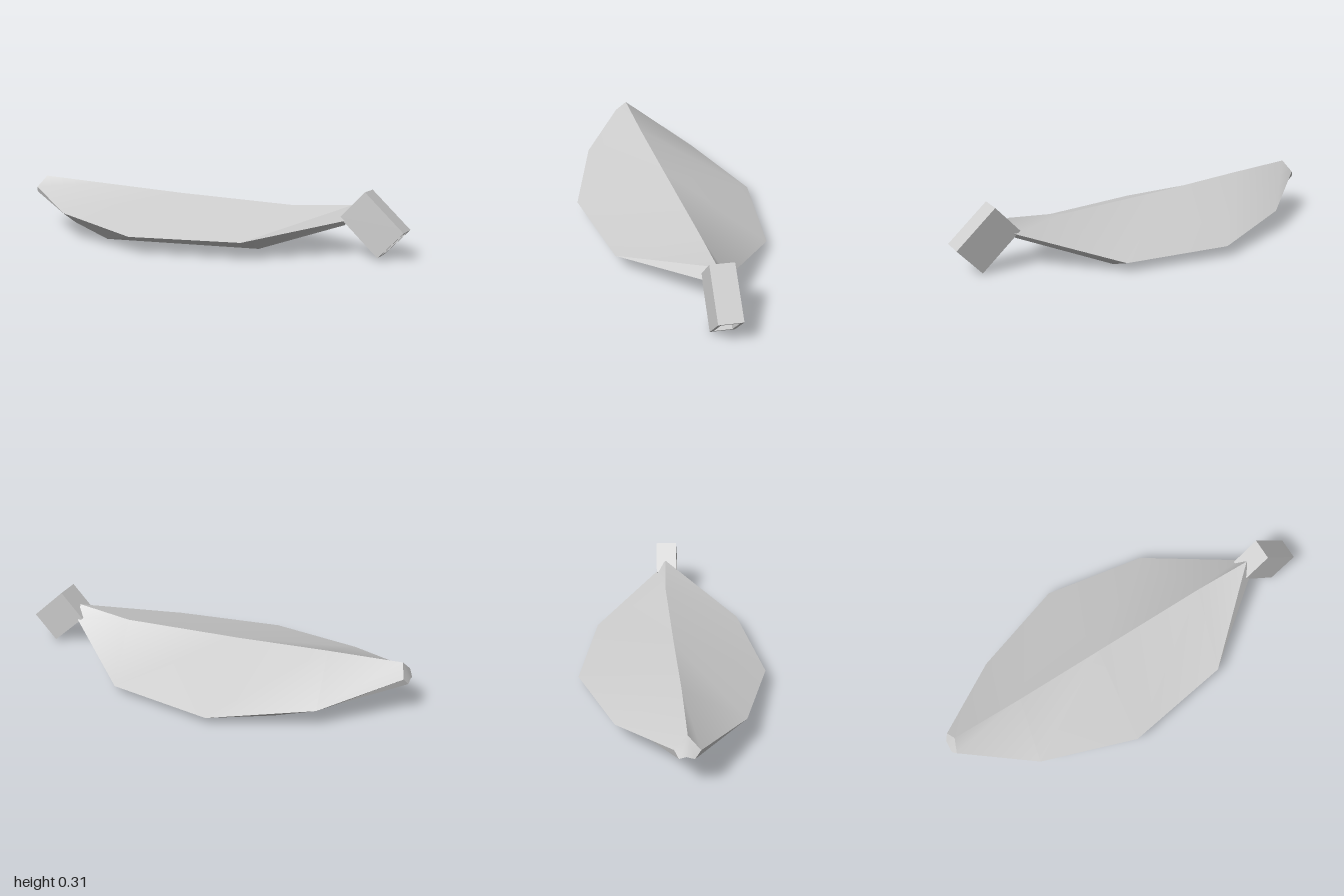
import * as THREE from 'three';
import { toCreasedNormals } from 'three/addons/utils/BufferGeometryUtils.js';

const grey = new THREE.MeshStandardMaterial({ color: 0xcccccc, side: THREE.DoubleSide });
grey.name = 'pale grey';

// Lines running lengthwise from the tip to the stem, in order round the section
const ridge = [[-0.955, 0.265, 0.07], [-0.6, 0.248, 0.045], [-0.15, 0.225, 0.005], [0.45, 0.205, -0.045], [0.74, 0.23, -0.05]];
const frontEdge = [[-0.98, 0.21, 0.125], [-0.65, 0.13, 0.335], [-0.18, 0.08, 0.455], [0.35, 0.085, 0.34], [0.73, 0.165, 0.01]];
const frontKeel = [[-1, 0.18, 0.1], [-0.7, 0.05, 0.17], [-0.45, 0, 0.24], [0.32, 0, 0.08], [0.72, 0.14, -0.01]];
const valley = [[-1, 0.19, 0.065], [-0.7, 0.1, 0.01], [-0.42, 0.07, -0.03], [0.39, 0.06, -0.08], [0.72, 0.155, -0.045]];
const backKeel = [[-1, 0.18, 0.035], [-0.7, 0.055, -0.1], [-0.45, 0.005, -0.24], [0.32, 0, -0.28], [0.72, 0.14, -0.08]];
const backEdge = [[-0.98, 0.21, 0.015], [-0.66, 0.1, -0.25], [-0.2, 0.05, -0.46], [0.32, 0.045, -0.408], [0.73, 0.165, -0.1]];

function peelGeometry() {
  const lines = [ridge, frontEdge, frontKeel, valley, backKeel, backEdge];
  const n = lines.length, last = ridge.length - 1;
  const pos = [];
  const tri = (...pts) => pts.forEach((p) => pos.push(...p));
  for (let i = 0; i < last; i++) {
    for (let j = 0; j < n; j++) {
      const k = (j + 1) % n;
      const a = lines[j][i], b = lines[j][i + 1], c = lines[k][i], d = lines[k][i + 1];
      tri(a, c, b);
      tri(b, c, d);
    }
  }
  // End caps
  for (let j = 1; j < n - 1; j++) {
    tri(lines[0][0], lines[j + 1][0], lines[j][0]);
    tri(lines[0][last], lines[j][last], lines[j + 1][last]);
  }
  const g = new THREE.BufferGeometry();
  g.setAttribute('position', new THREE.Float32BufferAttribute(pos, 3));
  return toCreasedNormals(g, 0.5);
}

function rectangle(Type, w, h) {
  return new Type([[-w, -h], [w, -h], [w, h], [-w, h]].map(([x, y]) => new THREE.Vector2(x / 2, y / 2)));
}

// Block whose long axis is local x, with a recess in its outer end
function createStem() {
  const length = 0.255, height = 0.172, depth = 0.112, recess = 0.03;
  const stem = new THREE.Group();
  stem.name = 'stem';

  const block = new THREE.Mesh(new THREE.BoxGeometry(length - recess, height, depth), grey);
  block.name = 'stemBlock';
  block.position.x = -recess / 2;

  const outline = rectangle(THREE.Shape, depth, height);
  outline.holes.push(rectangle(THREE.Path, depth - 0.03, height - 0.03));
  const rim = new THREE.Mesh(new THREE.ExtrudeGeometry(outline, { depth: recess, bevelEnabled: false }), grey);
  rim.name = 'stemRim';
  rim.rotation.y = Math.PI / 2;
  rim.position.x = length / 2 - recess;

  stem.add(block, rim);
  stem.rotation.set(-0.03, 0, -0.745);
  stem.position.set(0.853, 0.154, -0.042);
  return stem;
}

export function createModel() {
  const model = new THREE.Group();
  model.name = 'peel';
  const skin = new THREE.Mesh(peelGeometry(), grey);
  skin.name = 'skin';
  model.add(skin, createStem());
  return model;
}
